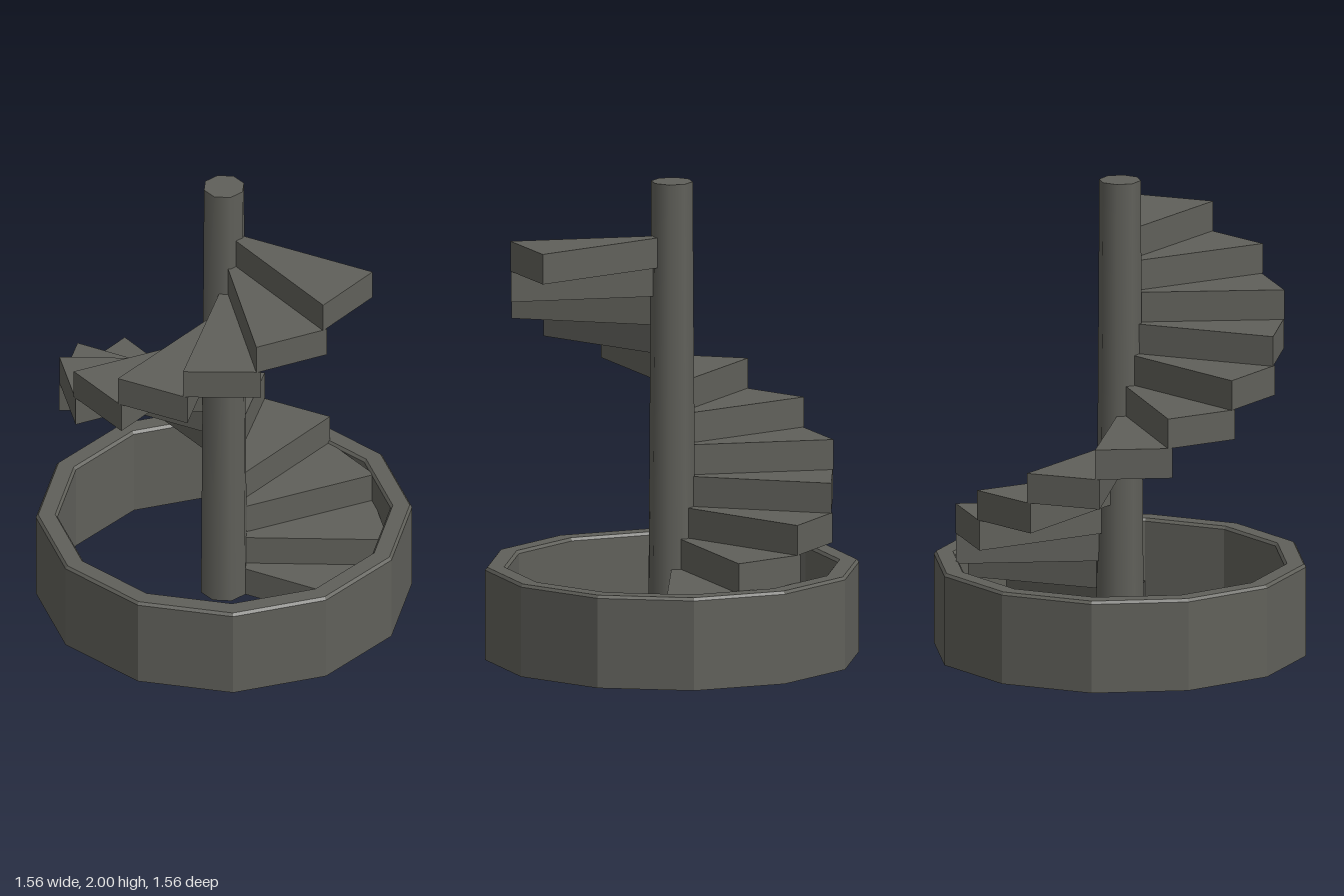
import * as THREE from 'three';

const STEPS = 14;
const TURN = (Math.PI * 2) / STEPS;
const RISE = 1.772 / STEPS;

function faceted(geometry) {
  const flat = geometry.toNonIndexed();
  flat.computeVertexNormals();
  return flat;
}

// Wedge tread whose leading edge slightly overlaps the step below it
function treadGeometry() {
  const shape = new THREE.Shape([
    new THREE.Vector2(0.078, -0.012),
    new THREE.Vector2(0.682, -0.019),
    new THREE.Vector2(0.682 * Math.cos(TURN), 0.682 * Math.sin(TURN)),
    new THREE.Vector2(0.078 * Math.cos(TURN), 0.078 * Math.sin(TURN)),
  ]);
  const geometry = new THREE.ExtrudeGeometry(shape, { depth: RISE, bevelEnabled: false });
  return geometry.rotateX(Math.PI / 2);
}

export function createModel() {
  const stone = new THREE.MeshStandardMaterial({ color: 0x60605a });
  stone.name = 'darkStone';
  const model = new THREE.Group();
  model.name = 'spiralStaircase';

  const add = (name, geometry, parent = model) => {
    const mesh = new THREE.Mesh(geometry, stone);
    mesh.name = name;
    parent.add(mesh);
    return mesh;
  };

  // Twelve-sided base wall with a chamfered rim
  const wallProfile = [
    [0.69, 0], [0.78, 0], [0.78, 0.378], [0.77, 0.39],
    [0.70, 0.39], [0.69, 0.378], [0.69, 0],
  ].map(([r, y]) => new THREE.Vector2(r, y));
  add('baseWall', faceted(new THREE.LatheGeometry(wallProfile, 12)));

  // Smooth, slightly tapered central column
  add('centralColumn', new THREE.CylinderGeometry(0.087, 0.1, 2, 8)).position.y = 1;

  // Treads wind down one full turn from the top
  const stairs = new THREE.Group();
  stairs.name = 'stairs';
  model.add(stairs);
  const tread = treadGeometry();
  for (let i = 0; i < STEPS; i++) {
    const step = add(`step${STEPS - i}`, tread, stairs);
    step.position.y = RISE * (STEPS - i);
    step.rotation.y = -TURN * i;
  }

  return model;
}
